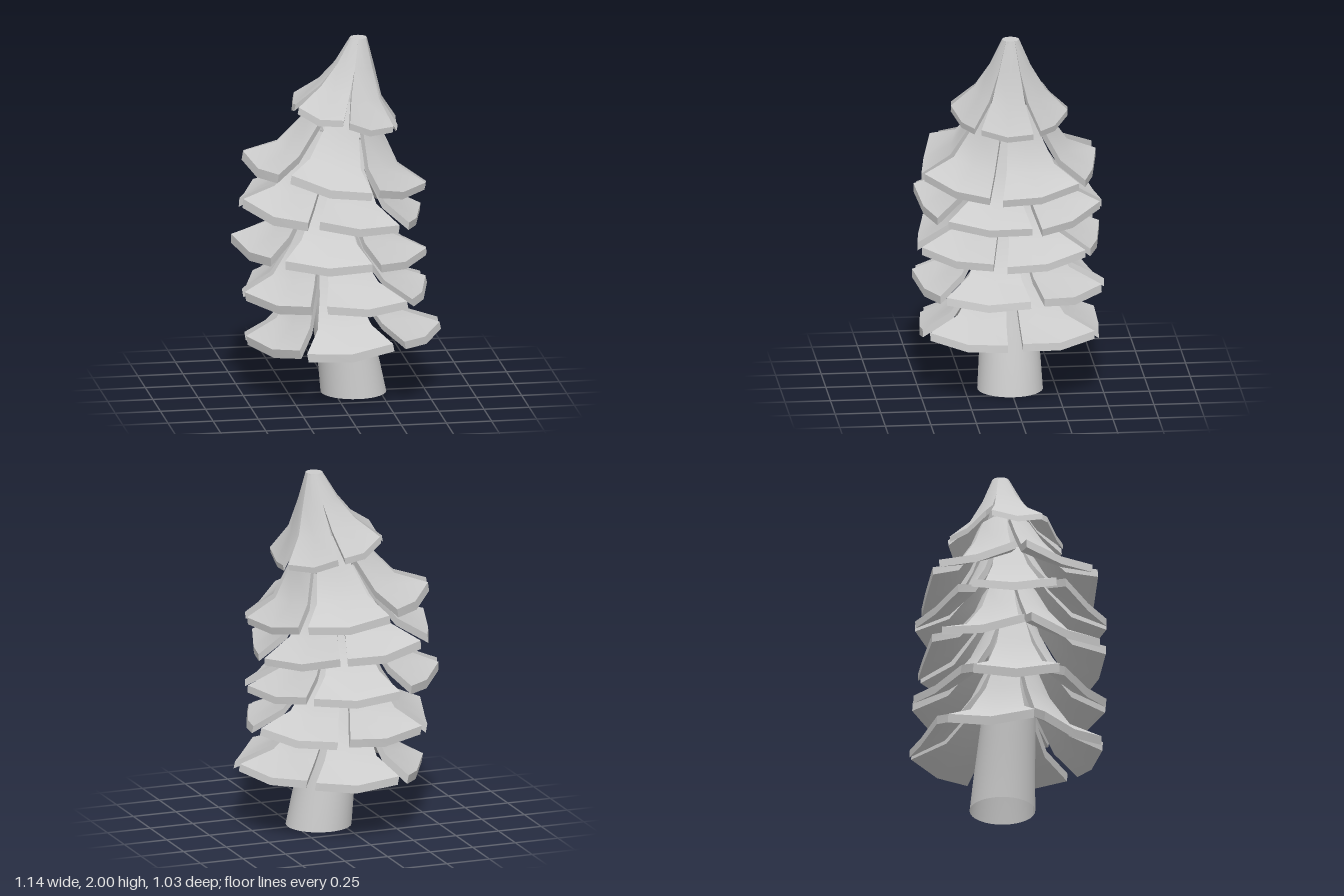
import * as THREE from 'three';
import { toCreasedNormals } from 'three/addons/utils/BufferGeometryUtils.js';

const foliageMaterial = new THREE.MeshStandardMaterial({ color: 0xcccccc });
const trunkMaterial = new THREE.MeshStandardMaterial({ color: 0xcccccc, side: THREE.DoubleSide });

// Curved axis of the tree: sideways offset at even steps of height
const axis = new THREE.SplineCurve(
  [0.11, 0.04, -0.025, -0.005, 0.068, 0.137].map((x, i) => new THREE.Vector2(x, i * 0.4))
);
const axisX = (y) => axis.getPoint(Math.min(1, Math.max(0, y / 2))).x;

// Move a point built around a straight axis onto the curved one
function bend(x, y, z) {
  const fade = Math.min(1, Math.max(0, (2 - y) / 0.3));
  const a = 0.22 * (y - 0.57) * fade;
  return [axisX(y) + x * Math.cos(a), y - x * Math.sin(a), z];
}

// Shift each level of an upright geometry along the axis
function followAxis(geometry) {
  const p = geometry.attributes.position;
  for (let i = 0; i < p.count; i++) p.setX(i, p.getX(i) + axisX(p.getY(i)));
  geometry.computeVertexNormals();
  return geometry;
}

let seed = 7;
function jitter(amount) {
  seed = (seed * 16807) % 2147483647;
  return (seed / 2147483647 - 0.5) * 2 * amount;
}

// One thick flared branch: an outer and an inner sheet joined round the border.
// Profile rows are [radius, y, half angle in degrees, corner flare, thickness].
function branchGeometry(profile, angle, twist) {
  const columns = 2, rows = profile.length, positions = [], index = [];
  for (const inner of [0, 1]) {
    profile.forEach(([radius, y, half, flare, thick], j) => {
      const t = j / (rows - 1);
      for (let i = 0; i <= columns; i++) {
        const u = (i / columns) * 2 - 1;
        const a = angle + THREE.MathUtils.degToRad(half) * u;
        const r = radius * (1 + flare * u * u) - inner * thick * (1 - t) * 0.8;
        const h = y + t * t * (0.03 * u * u + twist * u) - inner * thick;
        positions.push(...bend(r * Math.sin(a), h, r * Math.cos(a)));
      }
    });
  }
  const w = columns + 1, layer = w * rows;
  const quad = (a, b, c, d) => index.push(a, b, c, a, c, d);
  for (let j = 0; j < rows - 1; j++) {
    for (let i = 0; i < columns; i++) {
      const a = j * w + i;
      quad(a, a + w, a + w + 1, a + 1);
      quad(layer + a, layer + a + 1, layer + a + w + 1, layer + a + w);
    }
    // Side edges
    const l = j * w, r = l + columns;
    quad(l, l + layer, l + w + layer, l + w);
    quad(r, r + w, r + w + layer, r + layer);
  }
  // Rim and hidden upper edge
  for (let i = 0; i < columns; i++) {
    const b = (rows - 1) * w + i;
    quad(b, b + layer, b + 1 + layer, b + 1);
    quad(i, i + 1, i + 1 + layer, i + layer);
  }
  const geometry = new THREE.BufferGeometry();
  geometry.setAttribute('position', new THREE.Float32BufferAttribute(positions, 3));
  geometry.setIndex(index);
  return toCreasedNormals(geometry, 0.6);
}

export function createModel() {
  const tree = new THREE.Group();
  tree.name = 'bentPineTree';
  const add = (parent, name, geometry, material = foliageMaterial) => {
    const mesh = new THREE.Mesh(geometry, material);
    mesh.name = name;
    parent.add(mesh);
  };

  // Leaning hollow trunk, running up inside the foliage
  const trunk = new THREE.CylinderGeometry(0.07, 0.18, 1.75, 32, 10, true);
  add(tree, 'trunk', followAxis(trunk.translate(0, 0.875, 0)), trunkMaterial);

  // Blunt treetop
  const top = new THREE.CylinderGeometry(0.046, 0.1, 0.15, 24, 1);
  add(tree, 'treetop', followAxis(top.translate(0, 1.925, 0)));

  // Tiers: rim height, rim radius, turn in degrees
  const tiers = [
    [0.34, 0.49, -2],
    [0.585, 0.485, 12],
    [0.825, 0.49, -11],
    [1.05, 0.48, 11],
    [1.25, 0.465, -13],
    [1.565, 0.29, 22],
  ];
  tiers.forEach(([y, r, turn], k) => {
    const tier = new THREE.Group();
    tier.name = `branchTier${k + 1}`;
    tree.add(tier);
    const profile = k === 5
      ? [
        [0.047, 2, 30, 0, 0.01],
        [0.11, 1.85, 30, 0, 0.02],
        [0.185, 1.7, 28, 0.04, 0.03],
        [r, y, 26.5, 0.1, 0.035],
      ]
      : [
        [0.15, y + 0.42, 28, 0, 0.03],
        [0.22, y + 0.26, 25, 0.03, 0.035],
        [r * 0.68, y + 0.095, 25, 0.06, 0.04],
        [r, y, 26.5, 0.09, 0.045],
      ];
    for (let i = 0; i < 6; i++) {
      const angle = THREE.MathUtils.degToRad(turn + i * 60 + jitter(2));
      add(tier, `branch${i + 1}`, branchGeometry(profile, angle, jitter(0.015)));
    }
  });
  return tree;
}
